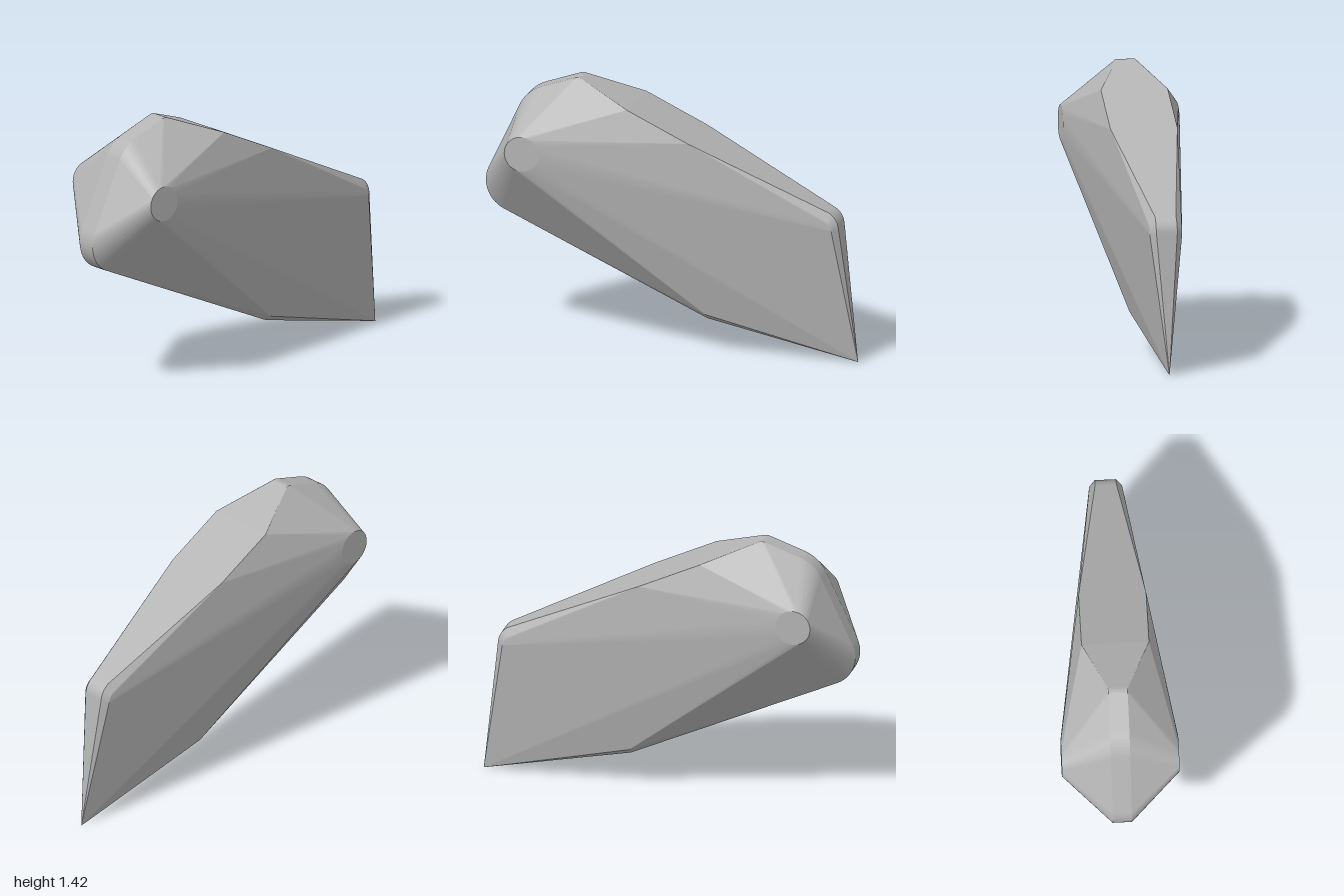
import * as THREE from 'three';
import { ConvexGeometry } from 'three/addons/geometries/ConvexGeometry.js';

export function createModel() {
  const group = new THREE.Group();
  const grey = new THREE.MeshStandardMaterial({ color: 0xb4b4b4 });
  grey.name = 'plain grey';

  const points = [];
  // Adds a point and its mirror across the middle plane
  const pair = (x, y, z) => {
    points.push(new THREE.Vector3(x, y, z));
    if (z) points.push(new THREE.Vector3(x, y, -z));
  };
  // Adds mirrored points along an arc, angles in degrees
  const arc = (cx, cy, r, from, to, steps, z) => {
    for (let i = 0; i <= steps; i++) {
      const a = THREE.MathUtils.degToRad(from + (to - from) * i / steps);
      pair(cx + r * Math.cos(a), cy + r * Math.sin(a), z);
    }
  };

  // Round side bosses, the widest part
  arc(-0.73, 1.06, 0.093, 0, 350, 35, 0.305);
  // Rounded rear rim: lower heel, upper shoulder, crown
  arc(-0.835, 0.825, 0.165, 157, 245, 14, 0.05);
  arc(-0.635, 1.165, 0.2, 157, 110, 8, 0.05);
  arc(-0.5, 1.372, 0.05, 110, 70, 4, 0.05);
  // Top ridge
  pair(-0.2, 1.31, 0.175);
  pair(0.13, 1.157, 0.175);
  // Blunt upper nose
  arc(0.81, 0.725, 0.1, 62, 6, 8, 0.055);
  arc(0.81, 0.715, 0.07, 60, 6, 8, 0.085);
  // Lower keel corner and pointed tip
  pair(0.2, 0.18, 0.05);
  pair(0.2, 0.21, 0.087);
  pair(1, 0, 0);

  const body = new THREE.Mesh(new ConvexGeometry(points), grey);
  body.name = 'body';
  group.add(body);
  return group;
}
